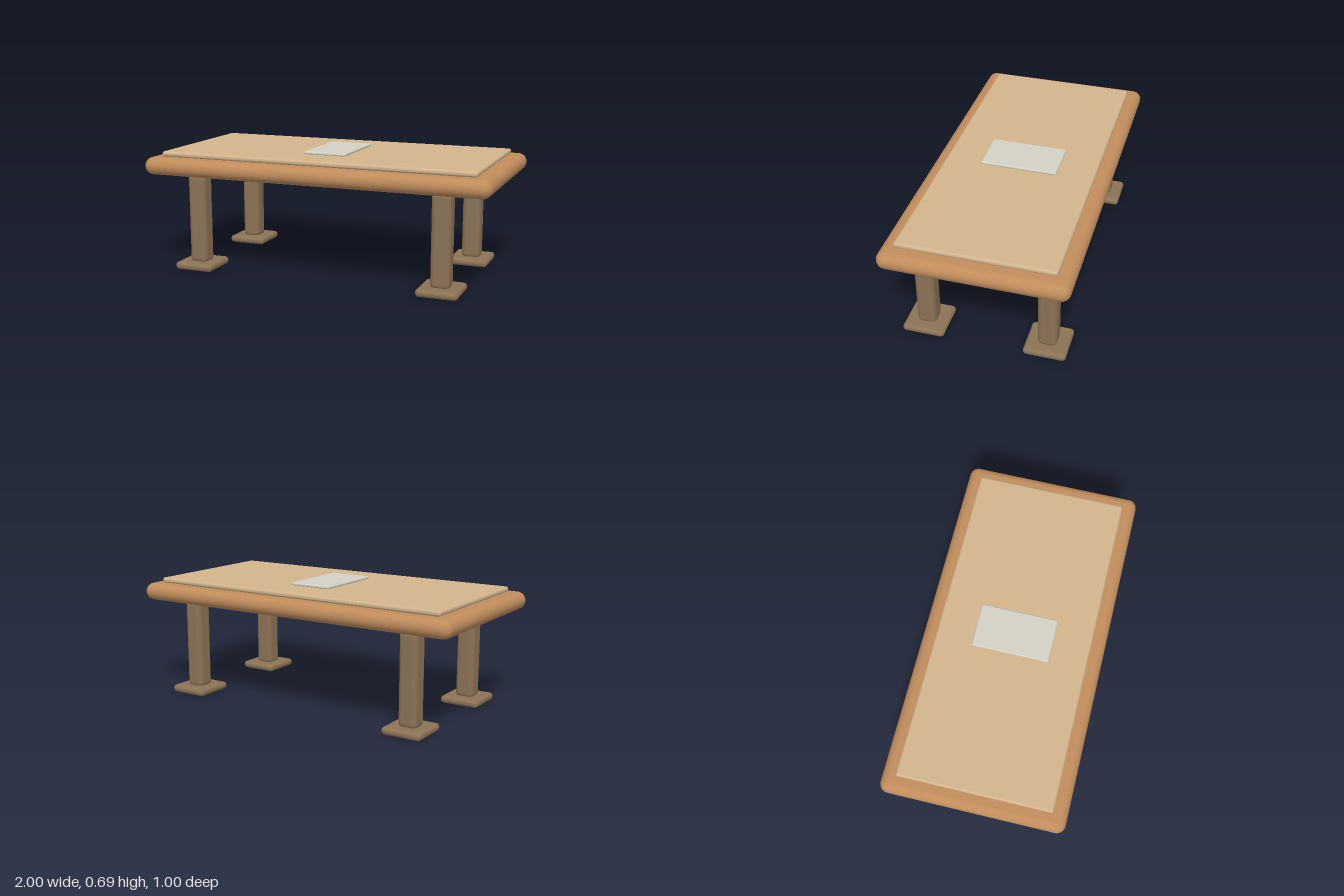
import * as THREE from 'three';
import { RoundedBoxGeometry } from 'three/addons/geometries/RoundedBoxGeometry.js';

const mat = (name, color) => {
  const m = new THREE.MeshStandardMaterial({ color });
  m.name = name;
  return m;
};

export function createModel() {
  const wood = mat('warm wood', 0xc08c5c);
  const darkWood = mat('brown wood', 0x8b7355);
  const tan = mat('tan panel', 0xd2b48c);
  const pale = mat('pale grey', 0xd3d0c4);

  const table = new THREE.Group();
  table.name = 'table';

  // Rounded block from its width, depth and bottom/top heights
  const block = (name, material, [w, d], [y0, y1], radius, x = 0, z = 0) => {
    const mesh = new THREE.Mesh(new RoundedBoxGeometry(w, y1 - y0, d, 6, radius), material);
    mesh.name = name;
    mesh.position.set(x, (y0 + y1) / 2, z);
    return mesh;
  };

  // Slab with an inset panel and a small plate on top
  table.add(
    block('tableTop', wood, [2, 1], [0.55, 0.65], 0.05),
    block('panel', tan, [1.83, 0.845], [0.65, 0.68], 0.013),
    block('plate', pale, [0.25, 0.43], [0.678, 0.695], 0.008),
  );

  // Four legs on square feet
  for (const sx of [-1, 1]) {
    for (const sz of [-1, 1]) {
      const leg = new THREE.Group();
      leg.name = `${sz > 0 ? 'front' : 'back'}${sx > 0 ? 'Left' : 'Right'}Leg`;
      leg.position.set(sx * 0.72, 0, sz * 0.338);
      leg.add(
        block('post', darkWood, [0.108, 0.108], [0.03, 0.552], 0.03),
        block('foot', darkWood, [0.23, 0.234], [0, 0.043], 0.02),
      );
      table.add(leg);
    }
  }
  return table;
}
